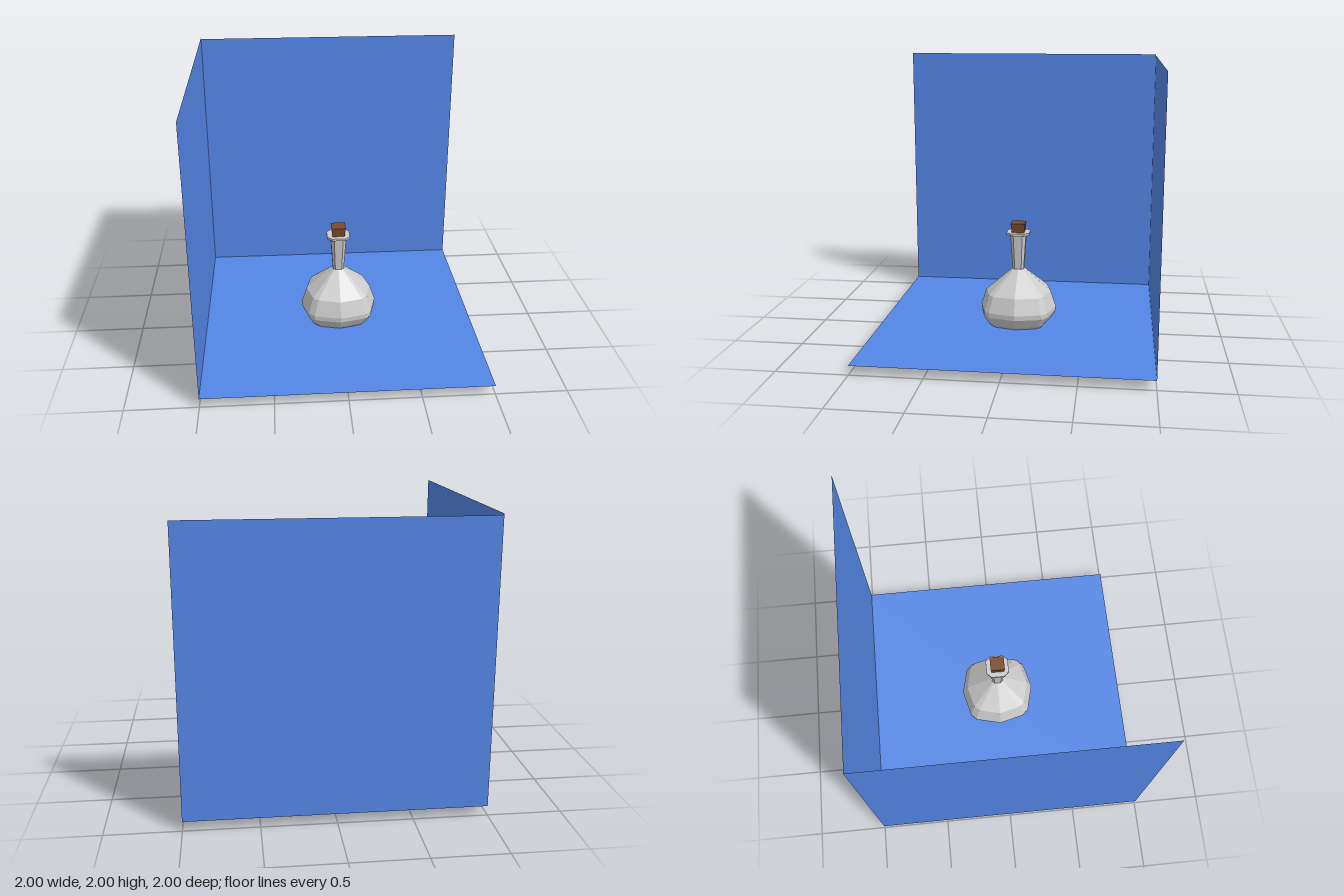
import * as THREE from 'three';

const material = (color, extra = {}) => new THREE.MeshStandardMaterial({ color, flatShading: true, ...extra });

// Stacks copies of a cross-section: levels are [y, scale], with both ends capped.
function loft(section, levels) {
  const n = section.length, pos = [], index = [];
  for (const [y, s] of levels) for (const [x, z] of section) pos.push(x * s, y, z * s);
  for (let l = 0; l < levels.length - 1; l++) {
    for (let i = 0; i < n; i++) {
      const a = l * n + i, b = l * n + (i + 1) % n;
      index.push(a, a + n, b, b, a + n, b + n);
    }
  }
  const top = (levels.length - 1) * n;
  for (let i = 1; i < n - 1; i++) {
    index.push(0, i, i + 1);
    index.push(top, top + i + 1, top + i);
  }
  const g = new THREE.BufferGeometry();
  g.setAttribute('position', new THREE.Float32BufferAttribute(pos, 3));
  g.setIndex(index);
  const flat = g.toNonIndexed();
  flat.computeVertexNormals();
  return flat;
}

// Repeats the points of one quarter around the y axis.
function fourfold(points) {
  const out = [];
  for (let q = 0; q < 4; q++) {
    for (const [x, z] of points) {
      let p = [x, z];
      for (let k = 0; k < q; k++) p = [-p[1], p[0]];
      out.push(p);
    }
  }
  return out;
}

export function createModel() {
  const model = new THREE.Group();
  const add = (name, geometry, mat, parent = model) => {
    const mesh = new THREE.Mesh(geometry, mat);
    mesh.name = name;
    parent.add(mesh);
    return mesh;
  };

  // Three thin backdrop panels
  const blue = material(0x5486e6, { side: THREE.DoubleSide });
  const base = 0.065;
  const floor = add('floor', new THREE.PlaneGeometry(2, 2), blue);
  floor.rotation.x = -Math.PI / 2;
  floor.position.y = base;
  const back = add('backWall', new THREE.PlaneGeometry(2, 1.99 - base), blue);
  back.position.set(0, (1.99 + base) / 2, -1);
  const side = add('sideWall', new THREE.PlaneGeometry(2, 2 - base), blue);
  side.rotation.y = Math.PI / 2;
  side.position.set(-1, (2 + base) / 2, 0);

  // Bottle, its foot reaching below the floor panel
  const bottle = new THREE.Group();
  bottle.name = 'bottle';
  bottle.position.z = -0.005;
  model.add(bottle);
  const glass = material(0xcccccc);
  const bulge = fourfold([[1, 0], [0.83, 0.68], [0.68, 0.83]]);
  const octagon = fourfold([[1, 0.58], [0.58, 1]]);
  const square = fourfold([[1, 1]]);

  add('body', loft(bulge, [[0, 0.145], [0.09, 0.24], [0.155, 0.278], [0.19, 0.28], [0.305, 0.24], [0.475, 0.043]]), glass, bottle);
  add('neck', loft(octagon, [[0.465, 0.04], [0.74, 0.058]]), glass, bottle);
  add('rim', loft(octagon, [[0.735, 0.084], [0.752, 0.084]]), glass, bottle);

  // Tapered square stopper
  add('cork', loft(square, [[0.745, 0.044], [0.82, 0.053]]), material(0x7d4b2d), bottle);

  return model;
}
